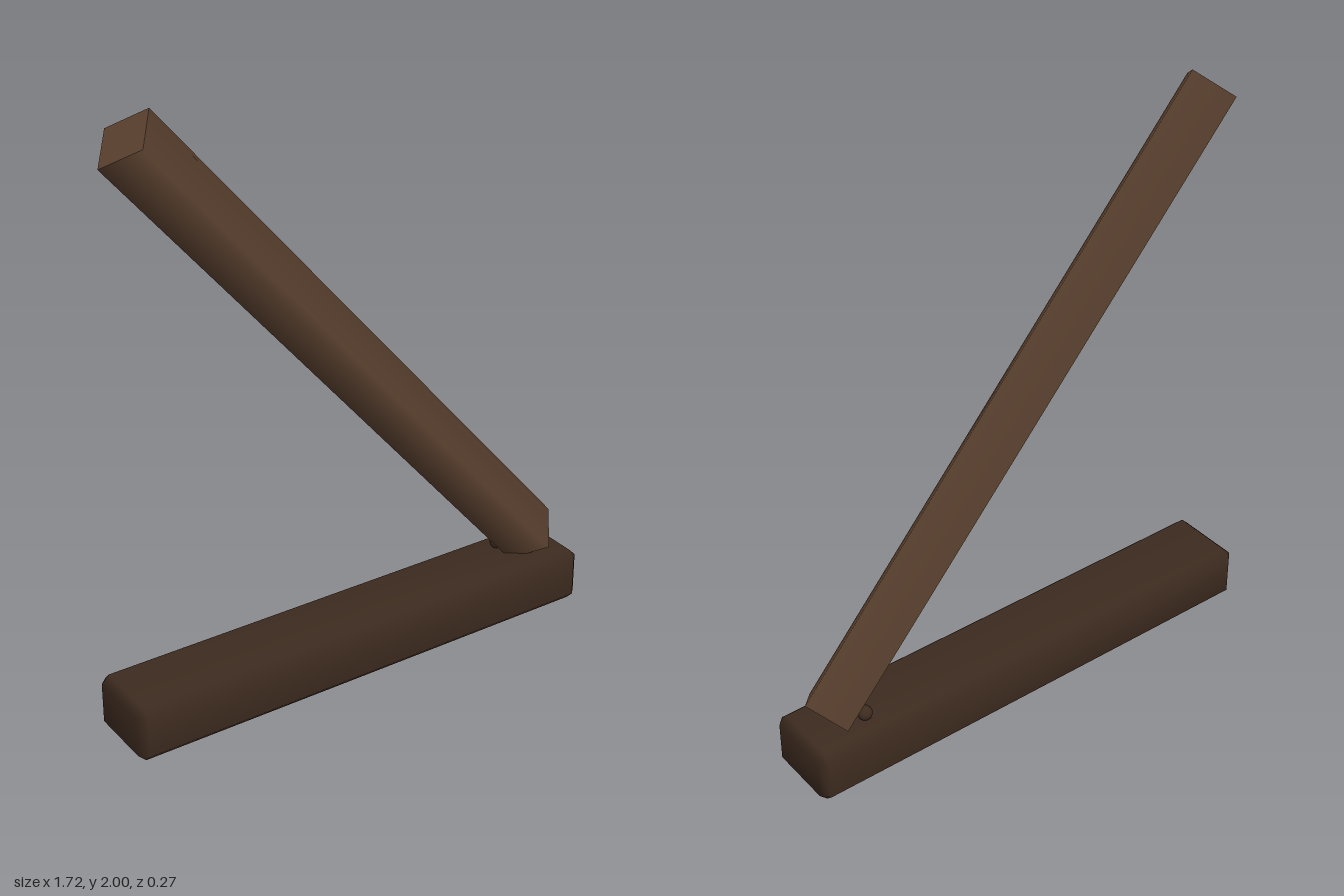
import * as THREE from 'three';
import { mergeVertices } from 'three/addons/utils/BufferGeometryUtils.js';
import { ConvexGeometry } from 'three/addons/geometries/ConvexGeometry.js';

// Box with cut edges and smooth normals
function chamferedBox(w, h, d, c) {
  const points = [];
  const [x, y, z] = [w / 2, h / 2, d / 2];
  for (const i of [-1, 1]) for (const j of [-1, 1]) for (const k of [-1, 1]) {
    points.push(
      new THREE.Vector3(i * x, j * (y - c), k * (z - c)),
      new THREE.Vector3(i * (x - c), j * y, k * (z - c)),
      new THREE.Vector3(i * (x - c), j * (y - c), k * z));
  }
  let geometry = new ConvexGeometry(points);
  geometry.deleteAttribute('normal');
  geometry = mergeVertices(geometry);
  geometry.computeVertexNormals();
  return geometry;
}

export function createModel() {
  const group = new THREE.Group();
  const darkWood = new THREE.MeshStandardMaterial({ color: 0x3d2b1f });
  darkWood.name = 'darkWood';
  const wood = new THREE.MeshStandardMaterial({ color: 0x5c4230 });
  wood.name = 'wood';

  const add = (name, geometry, material, x, y, z) => {
    const mesh = new THREE.Mesh(geometry, material);
    mesh.name = name;
    mesh.position.set(x, y, z);
    group.add(mesh);
    return mesh;
  };

  // Lying base beam
  add('baseBeam', chamferedBox(1.715, 0.19, 0.272, 0.027), darkWood, 0, 0.095, 0);

  // Leaning four-sided post, set on its corner
  const post = add('leaningPost', new THREE.CylinderGeometry(0.109, 0.109, 2.254, 4), wood, 0, 1.08, 0);
  post.rotation.z = 0.717;

  // Small peg behind the foot of the post
  add('peg', new THREE.SphereGeometry(0.025, 16, 12), darkWood, 0.64, 0.21, -0.05);

  return group;
}
